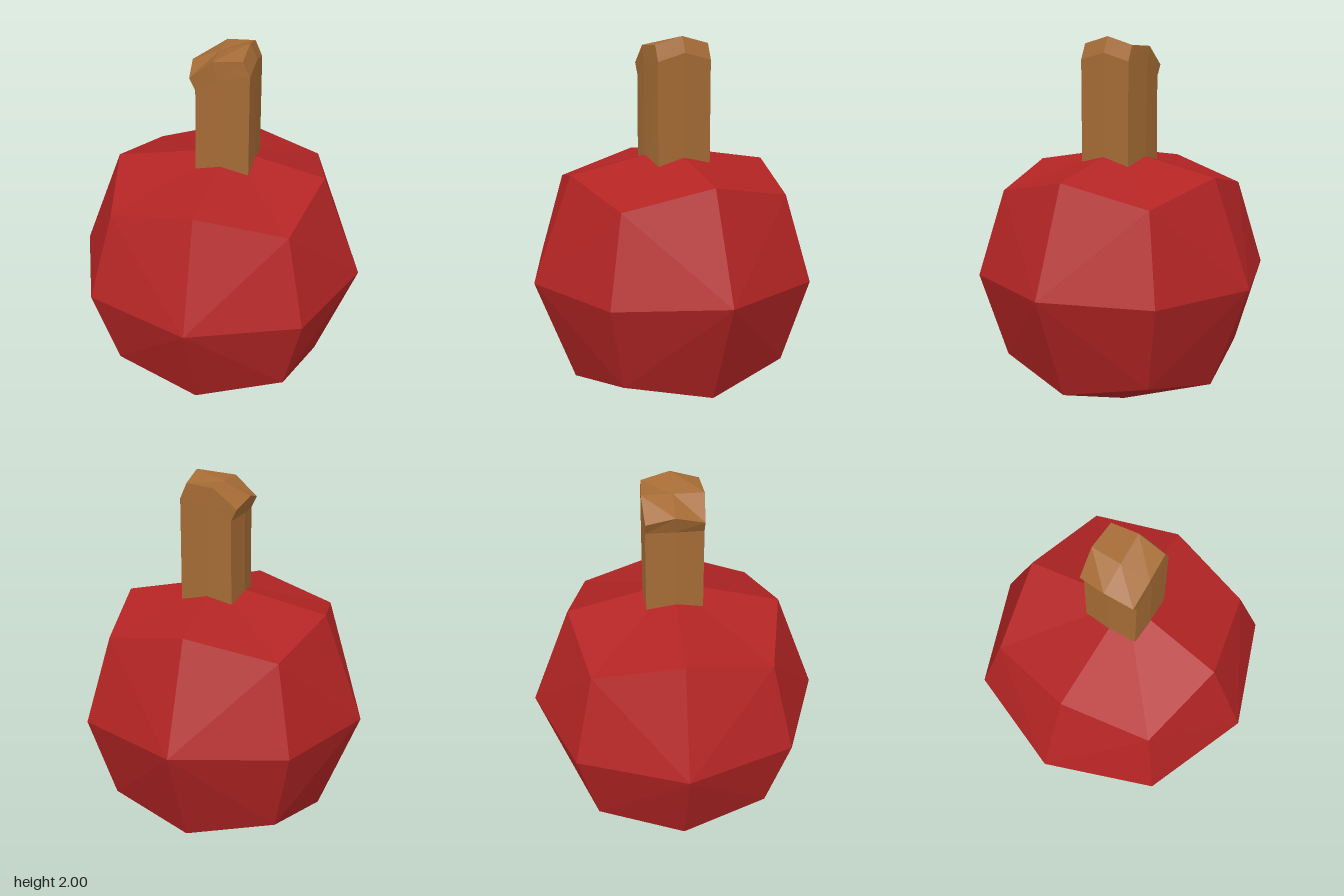
import * as THREE from 'three';

const makeMesh = (geometry, color, name) => {
  const flat = geometry.toNonIndexed();
  flat.computeVertexNormals();
  const mesh = new THREE.Mesh(flat, new THREE.MeshStandardMaterial({ color, flatShading: true }));
  mesh.name = name;
  return mesh;
};

// Moves each vertex of a box by a rule on its -1..1 grid coordinates
const reshape = (geometry, rule) => {
  const p = geometry.attributes.position;
  for (let i = 0; i < p.count; i++) {
    p.setXYZ(i, ...rule(Math.round(p.getX(i)), Math.round(p.getY(i)), Math.round(p.getZ(i))));
  }
  return geometry;
};

// Fruit body: a 2x2 box rounded into a faceted ball, with a flattened top
function createBody() {
  const reach = [0, 0.76, 0.55, 0.45]; // face centre, edge middle, corner
  const geometry = reshape(new THREE.BoxGeometry(2, 2, 2, 2, 2, 2), (x, y, z) => {
    const kind = Math.abs(x) + Math.abs(y) + Math.abs(z);
    if (kind === 1 && y === 1) return [0.05, 1.42, 0];
    const r = reach[kind];
    return [x * r, 0.76 + y * r, z * r];
  });
  // Split every side into a fan around its middle
  const ring = [0, 3, 6, 7, 8, 5, 2, 1];
  const index = [];
  for (let side = 0; side < 6; side++) {
    const o = side * 9;
    ring.forEach((v, i) => index.push(o + 4, o + v, o + ring[(i + 1) % 8]));
  }
  geometry.setIndex(index);
  return makeMesh(geometry, 0xb32424, 'fruitBody');
}

// Stem: eight-sided post with a slanted, bevelled tip
function createStem() {
  // Per level, bottom to top: [x, y] for left, middle and right columns
  const levels = [
    [[-0.115, 1.2], [0.035, 1.2], [0.185, 1.2]],
    [[-0.11, 1.8], [0.02, 1.86], [0.185, 1.92]],
    [[-0.14, 1.89], [0, 1.95], [0.15, 2.0]],
  ];
  const geometry = reshape(new THREE.BoxGeometry(2, 2, 2, 2, 2, 2), (x, y, z) => {
    let [px, py] = levels[y + 1][x + 1];
    const corner = x !== 0 && z !== 0;
    if (corner) px -= x * (x < 0 ? 0.02 : 0.005);
    if (corner && y >= 0) py -= y === 0 && x < 0 ? 0.01 : 0.04;
    return [px, py, z * (x === 0 ? 0.155 : 0.145) - 0.004];
  });
  return makeMesh(geometry, 0xa56b35, 'stem');
}

export function createModel() {
  const group = new THREE.Group();
  group.name = 'stemmedFruit';
  group.add(createBody(), createStem());
  return group;
}
